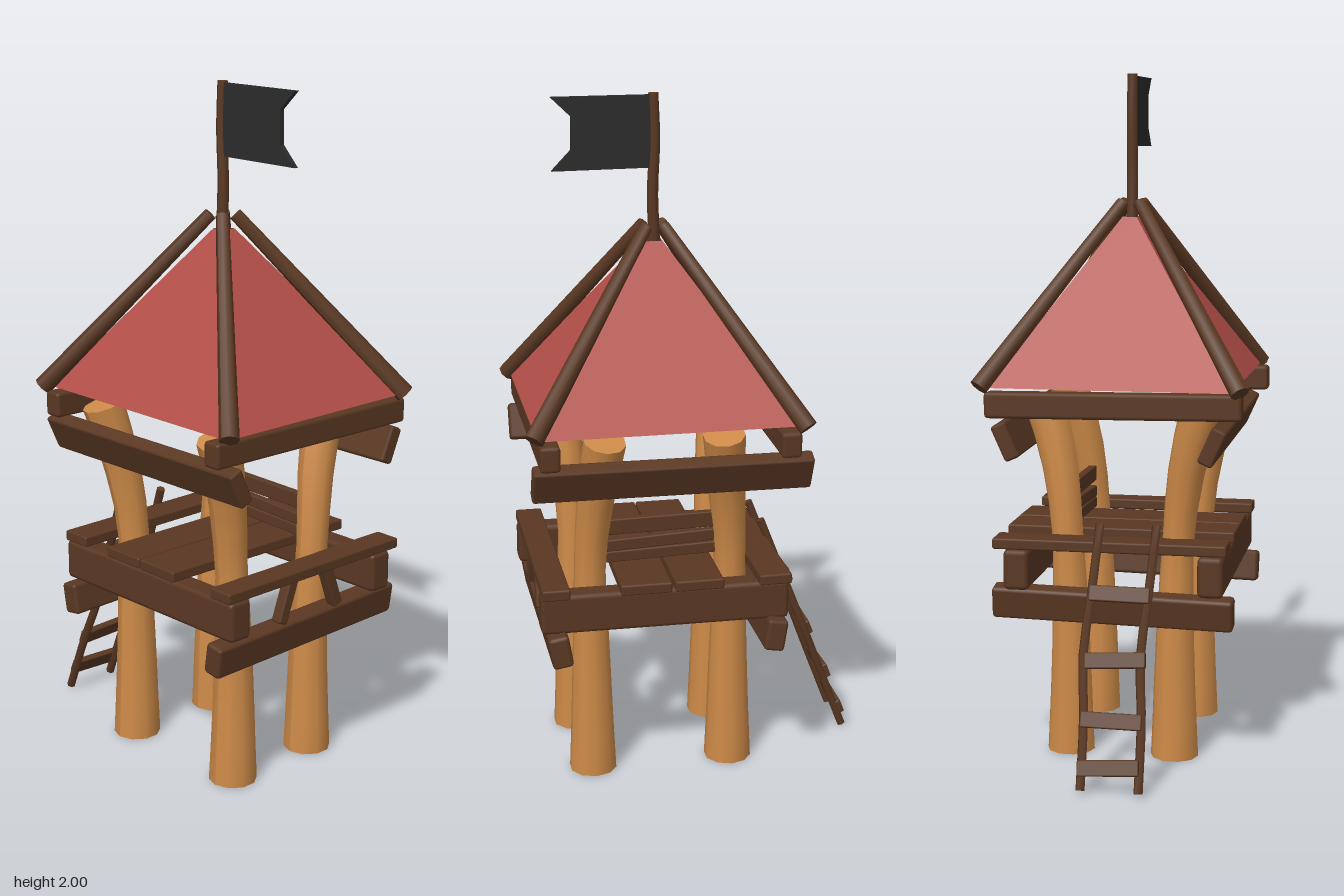
import * as THREE from 'three';
import { RoundedBoxGeometry } from 'three/addons/geometries/RoundedBoxGeometry.js';

const V = (x, y, z) => new THREE.Vector3(x, y, z);
const UP = V(0, 1, 0);

export function createModel() {
  const model = new THREE.Group();
  const paint = (color, extra = {}) => new THREE.MeshStandardMaterial({ color, ...extra });
  const trunkWood = paint(0xcd8a48);
  const darkWood = paint(0x5a3823);
  const roofCloth = paint(0xb34e48, { side: THREE.DoubleSide, flatShading: true });
  const flagCloth = paint(0x2b2b2b);

  const add = (name, geometry, material, parent = model) => {
    const mesh = new THREE.Mesh(geometry, material);
    mesh.name = name;
    parent.add(mesh);
    return mesh;
  };

  // Timber with slightly softened edges
  const beam = (name, size, pos, rot = [0, 0, 0], parent = model) => {
    const r = Math.min(...size) * 0.18;
    const mesh = add(name, new RoundedBoxGeometry(...size, 1, r), darkWood, parent);
    mesh.position.set(...pos);
    mesh.rotation.set(...rot);
    return mesh;
  };

  // Round pole swept along a curve, with a radius that changes along its length
  const pole = (name, points, radiusAt, material, sides = 10, parent = model) => {
    const curve = new THREE.CatmullRomCurve3(points);
    const geo = new THREE.CylinderGeometry(1, 1, 1, sides, points.length > 2 ? 10 : 1);
    const p = geo.attributes.position;
    const q = new THREE.Quaternion();
    for (let i = 0; i < p.count; i++) {
      const t = THREE.MathUtils.clamp(p.getY(i) + 0.5, 0, 1);
      const r = radiusAt(t);
      q.setFromUnitVectors(UP, curve.getTangentAt(t));
      const v = V(p.getX(i) * r, 0, p.getZ(i) * r).applyQuaternion(q).add(curve.getPointAt(t));
      p.setXYZ(i, v.x, v.y, v.z);
    }
    geo.computeVertexNormals();
    return add(name, geo, material, parent);
  };

  // Four bowed trunks: foot, waist and head positions
  const trunkRadius = (t) => (t < 0.62
    ? THREE.MathUtils.lerp(0.071, 0.046, Math.pow(t / 0.62, 0.9))
    : THREE.MathUtils.lerp(0.046, 0.062, (t - 0.62) / 0.38));
  const trunks = [
    [-0.12, 0.165, -0.16, 0.25], [0.312, 0.165, 0.338, 0.25],
    [-0.11, -0.15, -0.075, -0.24], [0.305, -0.15, 0.27, -0.24],
  ];
  for (const [x, z, topX, topZ] of trunks) {
    const s = Math.sign(z);
    pole('trunk', [V(x, 0, z), V(x, 0.35, z), V(x, 0.7, z + s * 0.012),
      V((x + topX) / 2, 0.9, z + s * 0.042), V(topX, 1.06, topZ)], trunkRadius, trunkWood);
  }

  // Platform frame: side beams below, front and back beams above
  const platform = new THREE.Group();
  platform.name = 'platform';
  model.add(platform);
  for (const s of [-1, 1]) {
    beam('platformSideBeam', [0.06, 0.095, 0.71], [0.105 + s * 0.315, 0.465, -0.005], [0.02, 0, -s * 0.16], platform);
    beam('platformCrossBeam', [0.725, 0.118, 0.075], [0.108, 0.572, s * 0.285], [0, 0, 0.005], platform);
  }

  // Floor planks running front to back: [centre x, width, turn]
  const planks = [[-0.203, 0.095, 0.01], [0.017, 0.142, 0], [0.168, 0.148, -0.01], [0.43, 0.08, 0]];
  for (const [x, w, turn] of planks) {
    beam('floorPlank', [w, 0.032, 0.685], [x, 0.648, -0.012], [0, turn, 0], platform);
  }
  // Small leaning struts under the outer plank
  for (const s of [-1, 1]) {
    beam('strut', [0.035, 0.15, 0.035], [0.445, 0.585, s * 0.088], [s * -0.35, 0, 0], platform);
  }
  // Back rail boards between the rear trunks
  [[0.775, 0.048, -0.015], [0.722, 0.036, -0.045], [0.685, 0.034, -0.03]].forEach(([y, h, roll]) =>
    beam('backRailBoard', [0.4, h, 0.025], [0.097, y, -0.158], [0, 0, roll], platform));

  // Upper frame carrying the roof
  const upper = new THREE.Group();
  upper.name = 'upperFrame';
  model.add(upper);
  for (const s of [-1, 1]) {
    beam('eaveCrossBeam', [0.805, 0.11, 0.046], [0.083, 0.962, s * 0.298], [s * 0.42, 0, 0.008], upper);
    beam('eaveSideBeam', [0.058, 0.075, 0.745], [0.098 + s * 0.342, 1.06, 0.002], [-0.012, 0, 0], upper);
  }

  // Pyramid roof cloth, open below
  const roofGeo = new THREE.CylinderGeometry(0.03, 0.5, 0.475, 4, 1, true);
  roofGeo.rotateY(Math.PI / 4);
  roofGeo.scale(0.375 / (0.5 * Math.SQRT1_2), 1, 0.35 / (0.5 * Math.SQRT1_2));
  roofGeo.translate(0, 1.345, -0.005);
  const rp = roofGeo.attributes.position;
  for (let i = 0; i < rp.count; i++) {
    rp.setX(i, rp.getX(i) + (rp.getY(i) > 1.3 ? 0.085 : 0.098));
  }
  add('roof', roofGeo, roofCloth);

  // Rafter poles along the roof edges
  for (const [x, z] of [[-0.285, -0.38], [0.482, -0.352], [0.482, 0.345], [-0.288, 0.372]]) {
    pole('rafter', [V(x, 1.11, z), V(0.085 + Math.sign(x) * 0.025, 1.625, Math.sign(z) * 0.025)],
      (t) => 0.028 - 0.009 * t, darkWood, 8);
  }

  // Flagpole and swallow-tailed flag
  pole('flagpole', [V(0.082, 1.58, 0), V(0.086, 1.72, 0), V(0.079, 1.87, 0), V(0.083, 2, 0)],
    (t) => 0.017 - 0.002 * t, darkWood, 8);
  const flagShape = new THREE.Shape([[0.085, 1.79], [0.375, 1.788], [0.32, 1.845], [0.318, 1.94],
    [0.375, 1.995], [0.085, 1.995]].map(([x, y]) => new THREE.Vector2(x, y)));
  const flagGeo = new THREE.ExtrudeGeometry(flagShape, { depth: 0.014, bevelEnabled: false });
  flagGeo.translate(0, 0, -0.007);
  add('flag', flagGeo, flagCloth);

  // Crooked ladder leaning on the platform
  const ladder = new THREE.Group();
  ladder.name = 'ladder';
  model.add(ladder);
  const lean = (y) => -0.503 + 0.383 * (y - 0.01);
  for (const z of [-0.042, 0.123]) {
    pole('ladderRail', [[0.01, 0], [0.2, -0.004], [0.36, -0.018], [0.53, -0.006], [0.715, 0.005]]
      .map(([y, dz]) => V(lean(y), y, z + dz)), () => 0.013, darkWood, 6, ladder);
  }
  [0.075, 0.197, 0.355, 0.53].forEach((y, i) =>
    beam('ladderRung', [0.022, 0.045, 0.175], [lean(y) - 0.012, y, 0.035],
      [i % 2 ? 0.02 : -0.05, 0.03, -0.37], ladder));

  return model;
}
